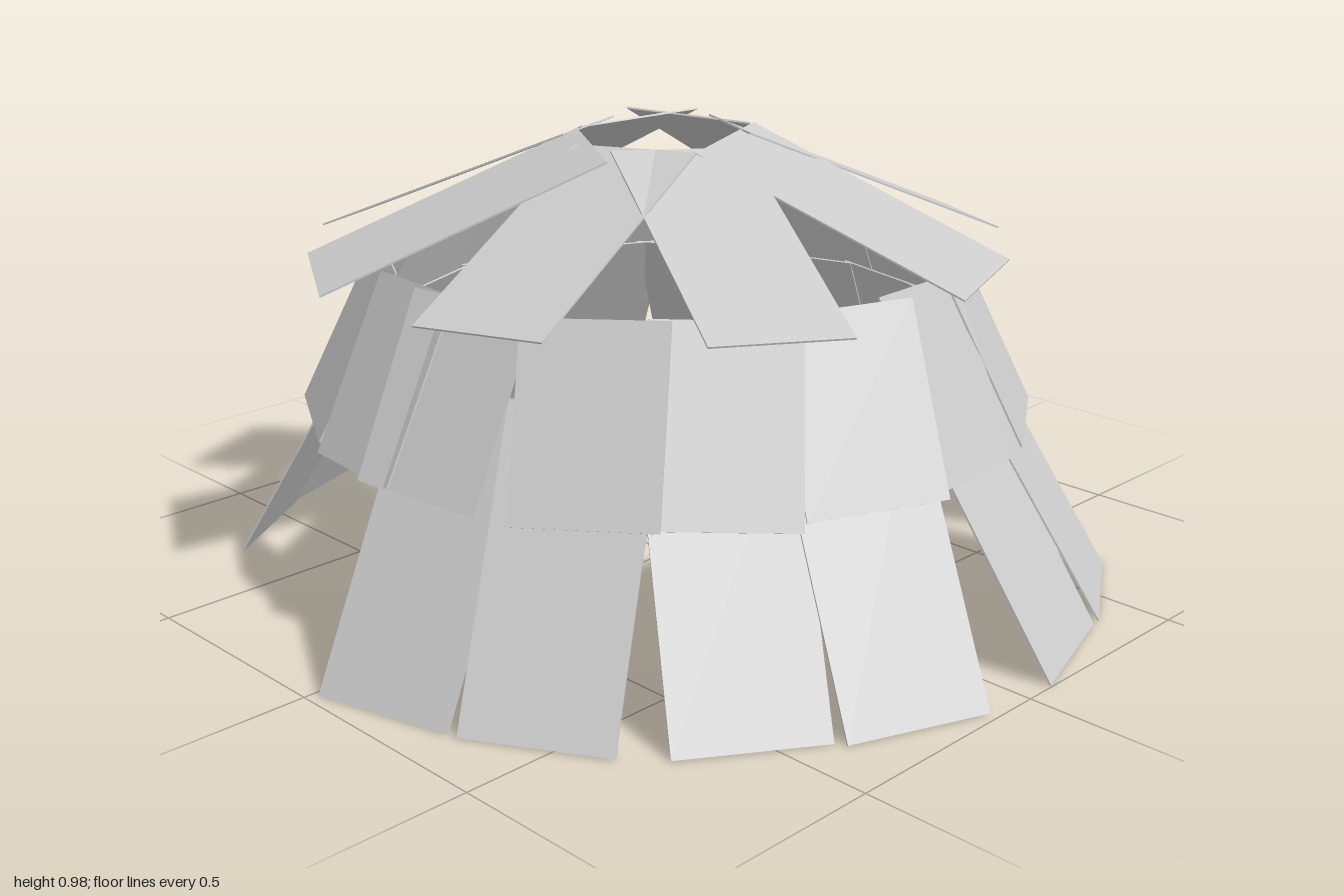
import * as THREE from 'three';

const material = new THREE.MeshStandardMaterial({ color: 0xcccccc, flatShading: true, side: THREE.DoubleSide });
const THICK = 0.004;
const rad = THREE.MathUtils.degToRad;

// One ring of sloping flat boards; each entry is [x, z, yaw, roll] of a board's lower edge
function boardRing(name, boards, { low, high, run, width }) {
  const ring = new THREE.Group();
  ring.name = name + 'Ring';
  const rise = high - low;
  const geometry = new THREE.BoxGeometry(width, THICK, Math.hypot(rise, run));
  for (const [x, z, yaw, roll = 0] of boards) {
    const a = rad(yaw);
    const board = new THREE.Mesh(geometry, material);
    board.name = name;
    board.rotation.order = 'YXZ';
    board.rotation.set(Math.atan2(rise, run), a, roll);
    board.position.set(x - Math.sin(a) * run / 2, (low + high) / 2, z - Math.cos(a) * run / 2);
    ring.add(board);
  }
  return ring;
}

export function createModel() {
  const model = new THREE.Group();
  model.name = 'boardHut';

  // Wall boards in pairs, with an entrance left open at the front
  const wall = [
    [0.165, 0.935, 15], [0.47, 0.813, 30], [0.763, 0.537, 57], [0.925, 0.25, 69],
    [0.948, -0.22, 108], [0.817, -0.52, 122], [0.478, -0.827, 153], [0.172, -0.945, 168],
    [-0.27, -0.915, 197.5], [-0.575, -0.787, 210.5], [-0.865, -0.478, 245.5], [-0.975, -0.17, 260.5],
    [-0.922, 0.277, 290], [-0.775, 0.563, 303],
  ];
  model.add(boardRing('wallBoard', wall, { low: 0.002, high: 0.56, run: 0.328, width: 0.31 }));

  // Closed ring of eave boards, rolled alternately: [angle round the ring, yaw, roll]
  const eave = [
    [6.5, 6, -0.1], [33.5, 38, 0.08], [53, 44, -0.1], [76, 68, 0.1],
    [98, 92, -0.12], [123, 127, 0.08], [147, 143, -0.08], [170.5, 178, 0.13],
    [192, 183, -0.13], [218, 221, 0.06], [237, 233, -0.06], [260, 267, 0.08],
    [281, 274, -0.08], [303, 306, 0.06], [326, 328, -0.06], [351, 357, 0.1],
  ].map(([at, yaw, roll]) => [0.785 * Math.sin(rad(at)), 0.785 * Math.cos(rad(at)), yaw, roll]);
  model.add(boardRing('eaveBoard', eave, { low: 0.379, high: 0.737, run: 0.175, width: 0.295 }));

  // Roof boards around an open smoke hole, rolled alternately to either side
  const roof = [
    [0.23, 0.73, 16], [0.665, 0.365, 64], [0.67, -0.25, 110], [0.31, -0.675, 150],
    [-0.355, -0.71, 204], [-0.735, -0.25, 253.5], [-0.71, 0.32, 296.5], [-0.33, 0.7, 328.5],
  ].map(([x, z, yaw], i) => [x, z, yaw, i % 2 ? -0.05 : 0.05]);
  model.add(boardRing('roofBoard', roof, { low: 0.732, high: 0.975, run: 0.585, width: 0.295 }));

  return model;
}
